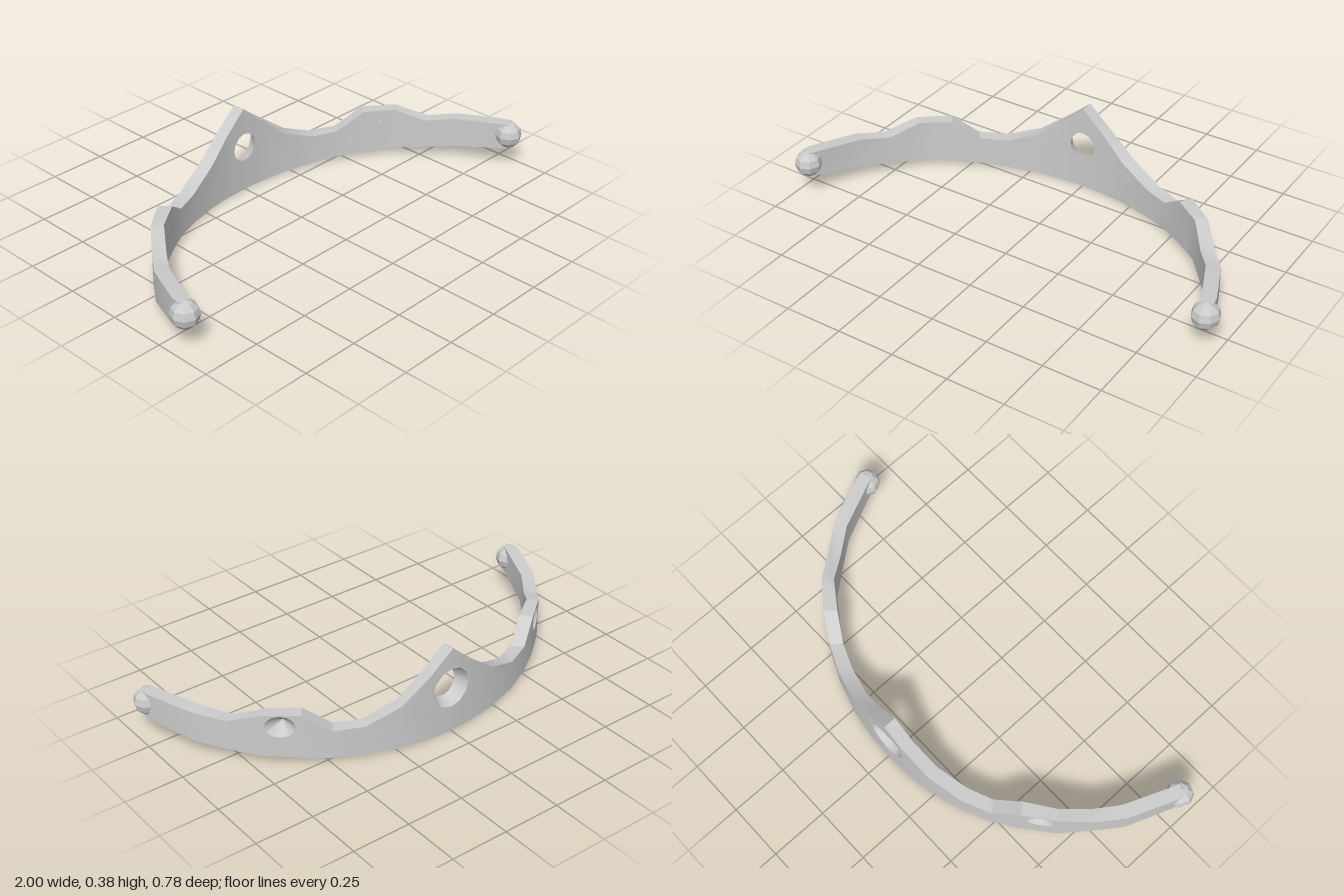
import * as THREE from 'three';
import { toCreasedNormals } from 'three/addons/utils/BufferGeometryUtils.js';

// Half-band stations: outer x, outer z, inner x, inner z, top y, bottom y
const STATIONS = [
  [0, -0.39, 0, -0.335, 0.385, 0.003],
  [0.1, -0.386, 0.095, -0.331, 0.3, 0.004],
  [0.23, -0.368, 0.21, -0.313, 0.2, 0.008],
  [0.375, -0.325, 0.35, -0.272, 0.145, 0.014],
  [0.49, -0.272, 0.455, -0.228, 0.145, 0.021],
  [0.59, -0.21, 0.555, -0.165, 0.225, 0.03],
  [0.71, -0.115, 0.668, -0.085, 0.225, 0.038],
  [0.8, -0.005, 0.75, 0.02, 0.178, 0.048],
  [0.88, 0.1, 0.825, 0.12, 0.195, 0.062],
  [0.96, 0.29, 0.905, 0.305, 0.208, 0.09],
  [0.968, 0.33, 0.918, 0.342, 0.21, 0.097],
];

// Conical openings: through-hole in the centre, blind sockets at the sides
const HOLES = [
  { u: 0, y: 0.205, outer: 0.088, inner: 0.063 },
  { u: 0.655, y: 0.172, outer: 0.048, inner: 0.003 },
  { u: -0.655, y: 0.172, outer: 0.048, inner: 0.003 },
];

// Interpolated station at a signed position along the band
function station(u) {
  const a = Math.abs(u);
  let i = 0;
  while (i < STATIONS.length - 2 && a > STATIONS[i + 1][0]) i++;
  const [p, q] = [STATIONS[i], STATIONS[i + 1]];
  const t = (a - p[0]) / (q[0] - p[0]);
  const s = p.map((v, k) => v + (q[k] - v) * t);
  const sign = u < 0 ? -1 : 1;
  return { outer: [sign * s[0], s[1]], inner: [sign * s[2], s[3]], top: s[4], bottom: s[5] };
}

// Cross-section with corners; part is 'full', or 'above' / 'below' an opening
function section(u, hole, part) {
  const corners = {};
  for (const side of ['outer', 'inner']) {
    let v = u, rise = 0;
    if (hole) {
      const t = THREE.MathUtils.clamp((u - hole.u) / hole.outer, -1, 1);
      v = side === 'outer' ? u : hole.u + t * hole.inner;
      rise = hole[side] * Math.sqrt(1 - t * t);
    }
    const s = station(v);
    const [x, z] = s[side];
    const lo = part === 'above' ? hole.y + rise : s.bottom;
    const hi = part === 'below' ? hole.y - rise : s.top;
    corners[side] = [[x, lo, z], [x, hi, z]];
  }
  return corners;
}

function bandGeometry() {
  const pos = [];
  const quad = (a, b, c, d) => pos.push(...a, ...b, ...c, ...a, ...c, ...d);
  const strip = (a, b) => {
    quad(a.outer[0], a.outer[1], b.outer[1], b.outer[0]);
    quad(a.inner[0], b.inner[0], b.inner[1], a.inner[1]);
    quad(a.inner[1], b.inner[1], b.outer[1], a.outer[1]);
    quad(a.outer[0], b.outer[0], b.inner[0], a.inner[0]);
  };

  // Positions along the band, with extra ones across each opening
  const us = [];
  for (const [x] of STATIONS) us.push(x, -x);
  for (const h of HOLES) {
    for (let k = 0; k <= 6; k++) us.push(h.u + h.outer * Math.cos((k * Math.PI) / 6));
  }
  us.sort((a, b) => a - b);
  const list = us.filter((u, i) => i === 0 || u - us[i - 1] > 1e-5);

  // Inner edge positions follow the opening so neighbouring strips meet it
  const edge = (u) => HOLES.find((h) => Math.abs(Math.abs(u - h.u) - h.outer) < 1e-4);
  for (let i = 0; i < list.length - 1; i++) {
    const [u0, u1] = [list[i], list[i + 1]];
    const hole = HOLES.find((h) => Math.abs((u0 + u1) / 2 - h.u) < h.outer);
    if (hole) {
      for (const part of ['above', 'below']) strip(section(u0, hole, part), section(u1, hole, part));
    } else {
      strip(section(u0, edge(u0), 'full'), section(u1, edge(u1), 'full'));
    }
  }

  // End caps
  const a = section(list[0], null, 'full');
  const b = section(list[list.length - 1], null, 'full');
  quad(a.inner[0], a.inner[1], a.outer[1], a.outer[0]);
  quad(b.outer[0], b.outer[1], b.inner[1], b.inner[0]);

  const geo = new THREE.BufferGeometry();
  geo.setAttribute('position', new THREE.Float32BufferAttribute(pos, 3));
  return toCreasedNormals(geo, 0.5);
}

export function createModel() {
  const group = new THREE.Group();
  group.name = 'tiara';
  const material = new THREE.MeshStandardMaterial({ color: 0xcccccc });

  const band = new THREE.Mesh(bandGeometry(), material);
  band.name = 'band';
  group.add(band);

  // Faceted balls on both tips
  const ballMaterial = new THREE.MeshStandardMaterial({ color: 0xcccccc, flatShading: true });
  const ballGeometry = new THREE.SphereGeometry(0.058, 8, 6);
  for (const side of [1, -1]) {
    const ball = new THREE.Mesh(ballGeometry, ballMaterial);
    ball.name = side > 0 ? 'leftTipBall' : 'rightTipBall';
    ball.position.set(side * 0.942, 0.154, 0.334);
    group.add(ball);
  }
  return group;
}
